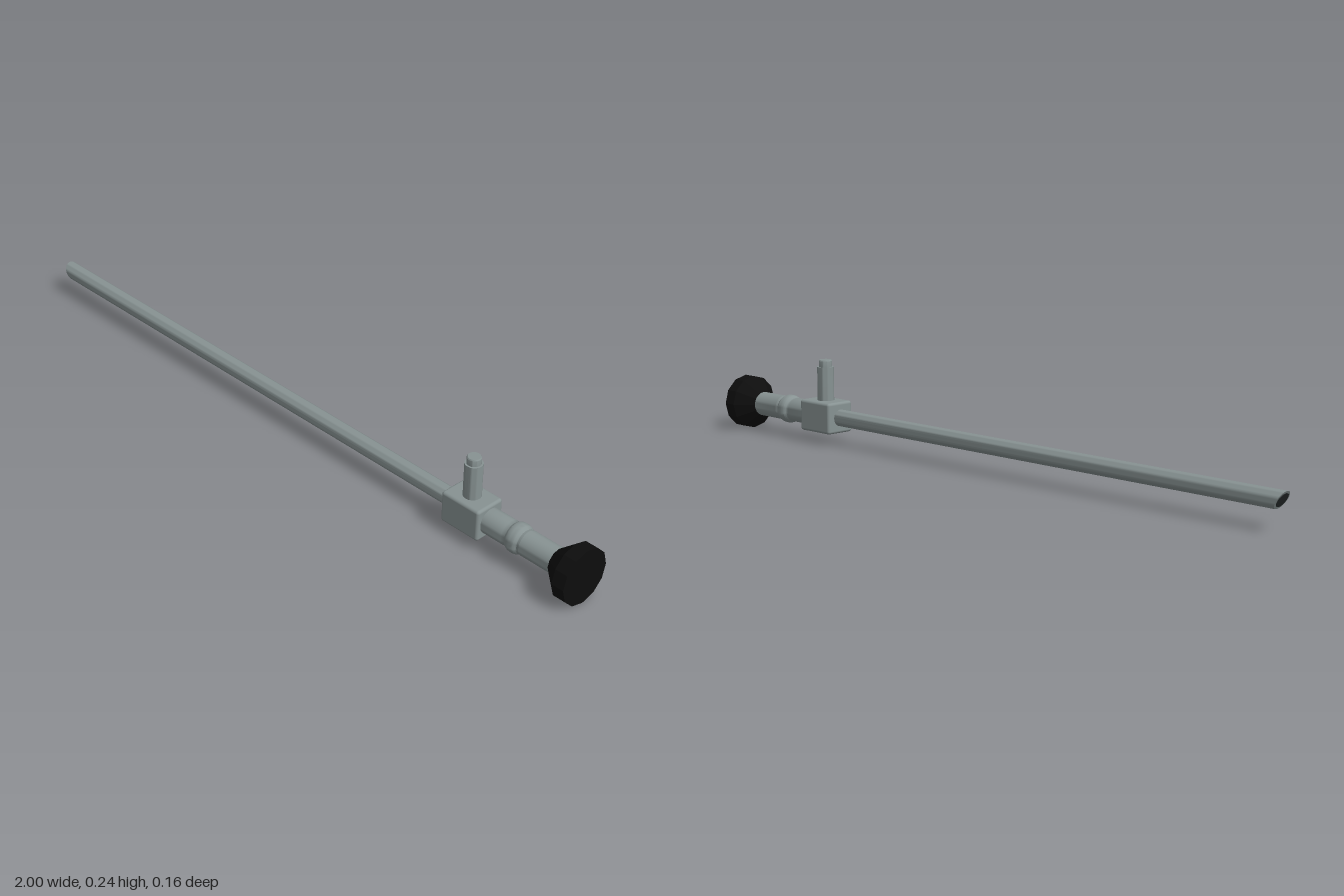
import * as THREE from 'three';
import { toCreasedNormals } from 'three/addons/utils/BufferGeometryUtils.js';
import { RoundedBoxGeometry } from 'three/addons/geometries/RoundedBoxGeometry.js';

const AXIS_Y = 0.08;

export function createModel() {
  const model = new THREE.Group();
  const steel = new THREE.MeshStandardMaterial({ name: 'steel grey', color: 0x879292 });
  const black = new THREE.MeshStandardMaterial({ name: 'black', color: 0x0d0d0d });
  const glass = new THREE.MeshStandardMaterial({ name: 'dark glass', color: 0x262b2b });

  function add(name, geometry, material, x, y) {
    const mesh = new THREE.Mesh(geometry, material);
    mesh.name = name;
    mesh.position.set(x, y, 0);
    model.add(mesh);
  }

  // Turned part from [radius, height] pairs
  function turned(profile, sides, crease) {
    const points = profile.map(([r, h]) => new THREE.Vector2(r, h));
    return toCreasedNormals(new THREE.LatheGeometry(points, sides), crease);
  }

  // Rod along x whose left end is cut at a slant, longest at the top
  function slantedRod(radius, x0, x1, shear, slantBoth) {
    const g = new THREE.CylinderGeometry(radius, radius, x1 - x0, 32);
    g.rotateZ(Math.PI / 2).translate((x0 + x1) / 2, 0, 0);
    const p = g.attributes.position;
    for (let i = 0; i < p.count; i++) {
      if (slantBoth || p.getX(i) < (x0 + x1) / 2) p.setX(i, p.getX(i) - p.getY(i) * shear);
    }
    return toCreasedNormals(g, 0.6);
  }

  // Long shaft with bevelled tip and lens
  add('shaft', slantedRod(0.024, -0.985, 0.58, 0.62, false), steel, 0, AXIS_Y);
  add('tipLens', slantedRod(0.018, -0.987, -0.984, 0.62, true), glass, 0, AXIS_Y);

  // Connector block
  add('connectorBlock', new RoundedBoxGeometry(0.125, 0.09, 0.09, 4, 0.008), steel, 0.633, AXIS_Y);

  // Light post with stepped tip
  add('lightPost', turned([
    [0, 0], [0.024, 0], [0.024, 0.102], [0.019, 0.102],
    [0.019, 0.119], [0.017, 0.122], [0, 0.122],
  ], 32, 0.6), steel, 0.633, 0.12);

  // Neck with a rounded collar
  const neck = [[0, 0.69], [0.035, 0.69], [0.035, 0.762], [0.033, 0.772]];
  for (let i = 0; i <= 8; i++) {
    const a = (i / 8) * Math.PI;
    neck.push([0.034 + 0.007 * Math.sin(a), 0.792 - 0.018 * Math.cos(a)]);
  }
  neck.push([0.033, 0.812], [0.035, 0.82], [0.035, 0.93], [0, 0.93]);
  add('neck', turned(neck, 32, 0.7).rotateZ(-Math.PI / 2), steel, 0, AXIS_Y);

  // Faceted eyepiece
  add('eyepiece', turned([
    [0, 0.915], [0.036, 0.915], [0.078, 0.963], [0.078, 1], [0, 1],
  ], 12, 0.1).rotateZ(-Math.PI / 2), black, 0, AXIS_Y);

  return model;
}
